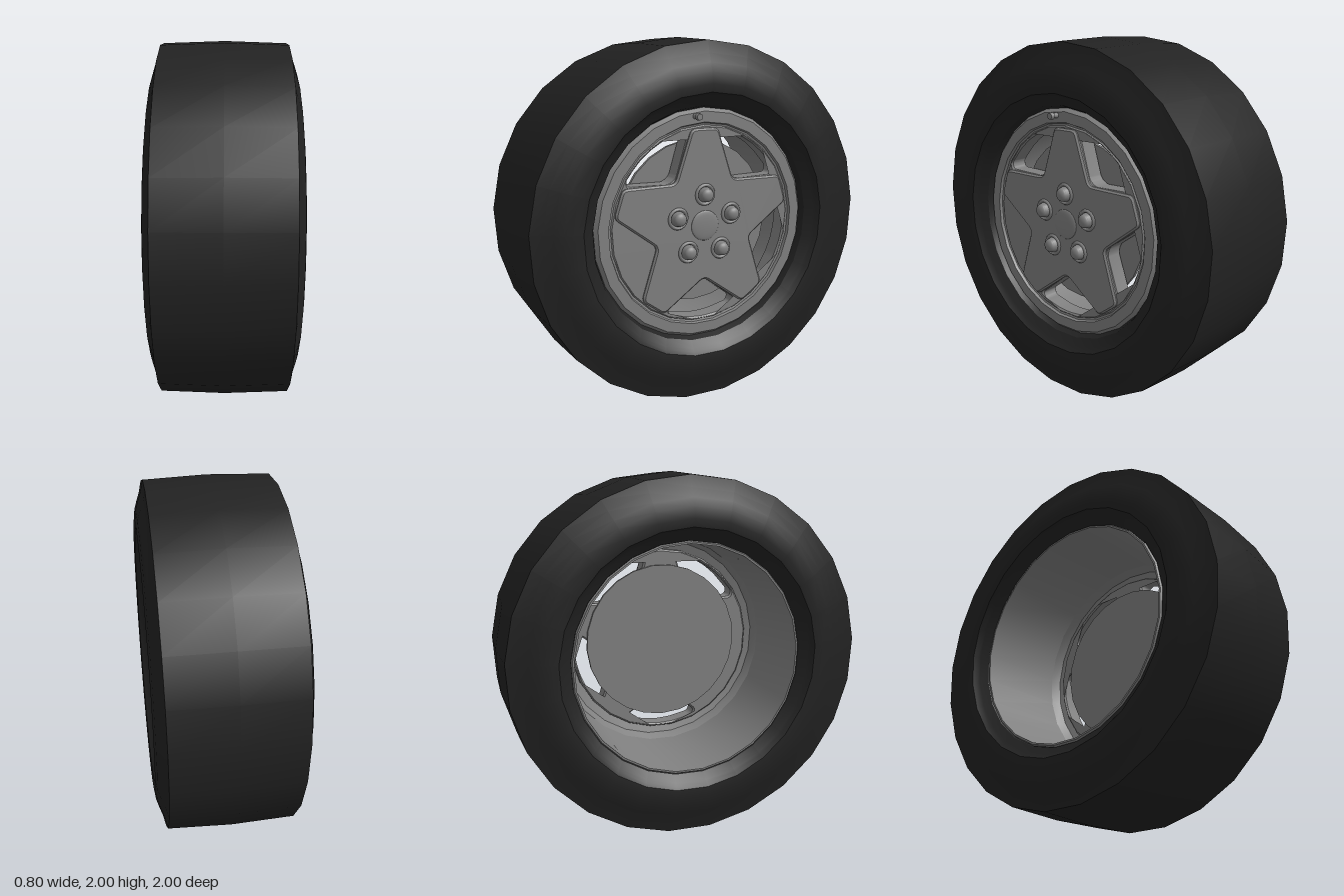
import * as THREE from 'three';
import { toCreasedNormals } from 'three/addons/utils/BufferGeometryUtils.js';

const SEGMENTS = 25;
const rubber = new THREE.MeshStandardMaterial({ color: 0x222222 });
const metal = new THREE.MeshStandardMaterial({ color: 0x808080 });

function mesh(name, geometry, material, x = 0, y = 0, z = 0) {
  const m = new THREE.Mesh(geometry, material);
  m.name = name;
  m.position.set(x, y, z);
  return m;
}

// Turned ring about z; profile of [z, radius] runs from the face over the outside to the back
function turned(profile) {
  const points = profile.map(([z, r]) => new THREE.Vector2(r, -z));
  const g = new THREE.LatheGeometry(points, SEGMENTS).rotateX(-Math.PI / 2);
  return toCreasedNormals(g, 0.42);
}

// Polygon with its corners rounded off
function roundedPath(points, radius, path) {
  const n = points.length;
  points.forEach((p, i) => {
    const toward = (q) => {
      const d = q.clone().sub(p);
      return p.clone().addScaledVector(d.normalize(), Math.min(radius, p.distanceTo(q) * 0.45));
    };
    const a = toward(points[(i + n - 1) % n]);
    const b = toward(points[(i + 1) % n]);
    if (i === 0) path.moveTo(a.x, a.y);
    else path.lineTo(a.x, a.y);
    path.quadraticCurveTo(p.x, p.y, b.x, b.y);
  });
  path.closePath();
  return path;
}

const polar = (r, angle) => new THREE.Vector2(r * Math.cos(angle), r * Math.sin(angle));
const origin = new THREE.Vector2();

function extruded(shape, depth, bevel) {
  const g = new THREE.ExtrudeGeometry(shape, {
    depth: depth - 2 * bevel, bevelThickness: bevel, bevelSize: bevel,
    bevelOffset: -bevel, bevelSegments: 1, curveSegments: 4,
  });
  return toCreasedNormals(g.translate(0, 0, bevel), 0.5);
}

export function createModel() {
  const model = new THREE.Group();
  model.name = 'wheel';
  const wheel = new THREE.Group();
  wheel.name = 'wheelAssembly';

  // Tyre: mirrored half profile
  const half = [
    [0.29, 0.637], [0.335, 0.655], [0.365, 0.695], [0.378, 0.71], [0.395, 0.725],
    [0.4, 0.77], [0.392, 0.83], [0.378, 0.875], [0.36, 0.925], [0.345, 0.99],
  ];
  const back = half.map(([z, r]) => [-z, r]).reverse();
  wheel.add(mesh('tyre', turned([...half, [0, 1.002], ...back]), rubber));

  // Rim lip and open barrel
  wheel.add(mesh('rim', turned([
    [0.27, 0.54], [0.302, 0.545], [0.306, 0.558], [0.322, 0.564], [0.322, 0.622], [0.3, 0.64],
    [-0.33, 0.65], [-0.34, 0.645], [-0.34, 0.635], [0.18, 0.625], [0.23, 0.6], [0.25, 0.54], [0.27, 0.54],
  ]), metal));

  // Spoke plate with five windows
  const plate = new THREE.Shape(
    Array.from({ length: SEGMENTS }, (_, i) => polar(0.55, Math.PI / 2 + (i / SEGMENTS) * Math.PI * 2)));
  const arc = [18, 9, 0, -9, -18].map((d) => polar(0.53, THREE.MathUtils.degToRad(d - 90)));
  const windowPoints = [
    new THREE.Vector2(0.025, -0.315), new THREE.Vector2(0.215, -0.46), new THREE.Vector2(0.2, -0.496),
    ...arc,
    new THREE.Vector2(-0.2, -0.496), new THREE.Vector2(-0.215, -0.46), new THREE.Vector2(-0.025, -0.315),
  ];
  // Raised star on the face of the spokes
  const starPoints = [];
  for (let i = 0; i < 5; i++) {
    const turn = (i / 5) * Math.PI * 2;
    const spin = (p) => p.clone().rotateAround(origin, turn);
    plate.holes.push(roundedPath(windowPoints.map(spin), 0.02, new THREE.Path()));
    starPoints.push(...[[0.176, 0.243], [0.08, 0.53], [-0.08, 0.53]].map(([x, y]) => spin(new THREE.Vector2(x, y))));
  }
  wheel.add(mesh('spokePlate', extruded(plate, 0.11, 0.01), metal, 0, 0, 0.2));
  const star = roundedPath(starPoints, 0.03, new THREE.Shape());
  wheel.add(mesh('spokeStar', extruded(star, 0.03, 0.01), metal, 0, 0, 0.297));

  // Backing disc behind the spokes
  const disc = new THREE.CylinderGeometry(0.46, 0.46, 0.02, SEGMENTS).rotateX(Math.PI / 2);
  wheel.add(mesh('backingDisc', disc, metal, 0, 0, 0.192));

  // Shallow centre dome
  const dome = new THREE.SphereGeometry(0.085, 24, 6, 0, Math.PI * 2, 0, Math.PI / 2)
    .rotateX(Math.PI / 2).scale(1, 1, 0.15);
  wheel.add(mesh('centreDome', dome, metal, 0, 0, 0.326));

  // Domed lug nuts in round seats
  const seat = new THREE.TorusGeometry(0.052, 0.01, 6, 20);
  const nut = new THREE.CylinderGeometry(0.037, 0.043, 0.025, 16).rotateX(Math.PI / 2);
  const cap = new THREE.SphereGeometry(0.037, 16, 6, 0, Math.PI * 2, 0, Math.PI / 2)
    .rotateX(Math.PI / 2).scale(1, 1, 0.6);
  for (let i = 0; i < 5; i++) {
    const p = polar(0.172, Math.PI / 2 + (i / 5) * Math.PI * 2);
    const lug = new THREE.Group();
    lug.name = 'lugNut';
    lug.position.set(p.x, p.y, 0.327);
    lug.add(mesh('nutSeat', seat, metal), mesh('nutBody', nut, metal, 0, 0, 0.0125),
      mesh('nutCap', cap, metal, 0, 0, 0.025));
    wheel.add(lug);
  }

  // Valve stem on the lip
  const valve = new THREE.Group();
  valve.name = 'valve';
  valve.position.set(-0.06, 0.597, 0.31);
  valve.add(
    mesh('valveStem', new THREE.CylinderGeometry(0.013, 0.016, 0.05, 12).rotateX(Math.PI / 2), metal, 0, 0, 0.025),
    mesh('valveCap', new THREE.CylinderGeometry(0.017, 0.02, 0.022, 12).rotateX(Math.PI / 2), metal, 0, 0, 0.055));
  wheel.add(valve);

  // Face the wheel towards +x and stand it on the ground
  wheel.rotation.y = Math.PI / 2;
  wheel.position.y = 1.002 * Math.cos(Math.PI / SEGMENTS);
  model.add(wheel);
  return model;
}
